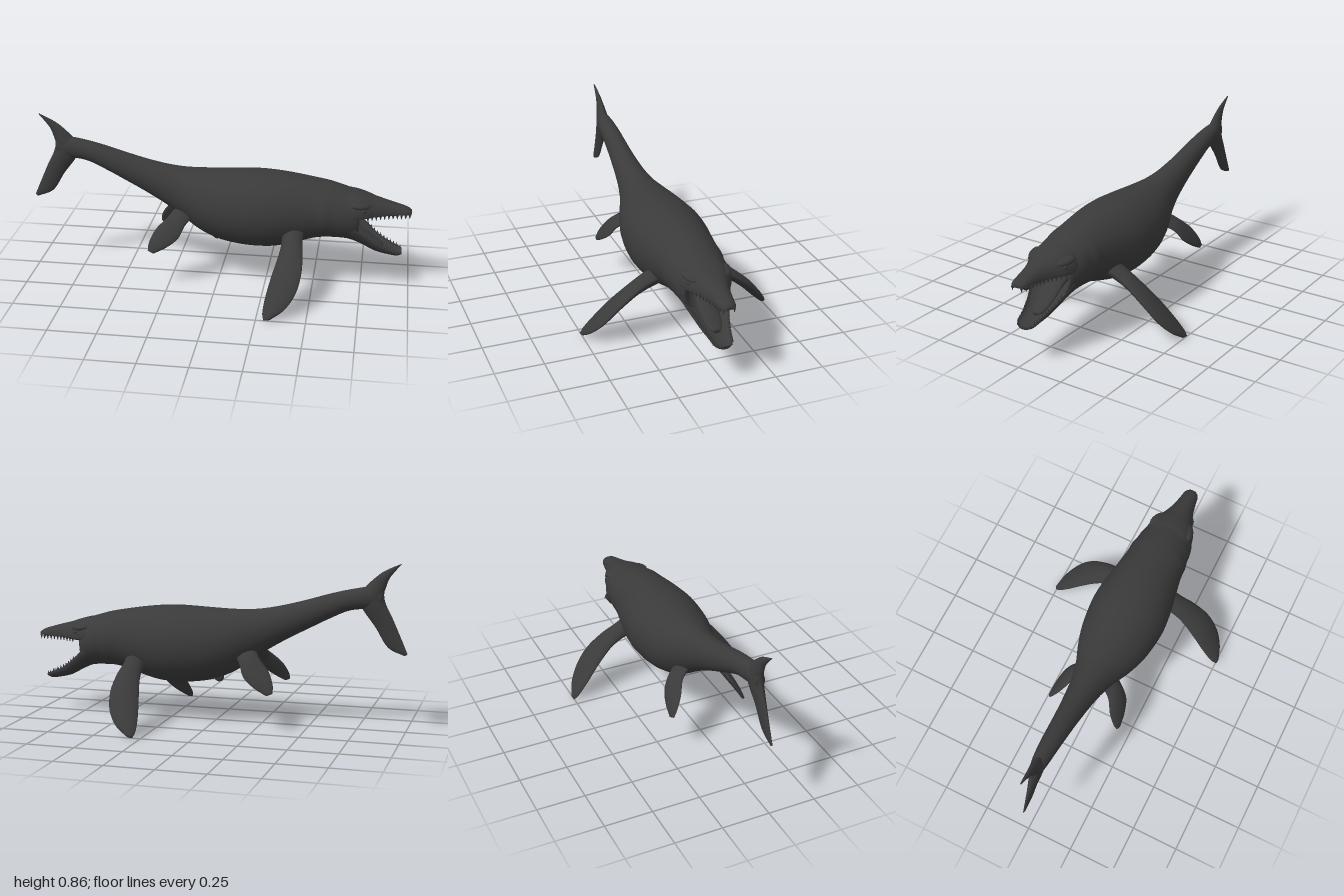
import * as THREE from 'three';

const V = (x, y, z) => new THREE.Vector3(x, y, z);
const ellipse = (a) => [Math.cos(a), Math.sin(a)];

// Smooth closed skin through rows of { c: centre, u, v: half axes }
function loft(rows, shape = ellipse, steps = 6, sides = 36) {
  const [c, u, v] = ['c', 'u', 'v'].map(
    (k) => new THREE.CatmullRomCurve3(rows.map((r) => r[k]), false, 'catmullrom', 0.5));
  const n = (rows.length - 1) * steps;
  const pos = [], index = [];
  let turn = 0;
  for (let i = -1; i <= n + 1; i++) {
    const t = Math.min(Math.max(i / n, 0), 1);
    const size = i < 0 || i > n ? 0 : 1;
    const C = c.getPoint(t), U = u.getPoint(t), W = v.getPoint(t);
    if (i >= 0 && i < n) turn += U.clone().cross(W).dot(c.getPoint((i + 1) / n).sub(C));
    for (let j = 0; j < sides; j++) {
      const [p, q] = shape((j / sides) * Math.PI * 2);
      const P = C.clone().addScaledVector(U, p * size).addScaledVector(W, q * size);
      pos.push(P.x, P.y, P.z);
    }
  }
  for (let i = 0; i < n + 2; i++) {
    for (let j = 0; j < sides; j++) {
      const a = i * sides + j, b = i * sides + ((j + 1) % sides), d = a + sides, e = b + sides;
      if (turn > 0) index.push(a, b, e, a, e, d);
      else index.push(a, e, b, a, d, e);
    }
  }
  const g = new THREE.BufferGeometry();
  g.setAttribute('position', new THREE.Float32BufferAttribute(pos, 3));
  g.setIndex(index);
  g.computeVertexNormals();
  return g;
}

// Trunk-like rows: [x, bottom, top, half width]
const trunk = (rows) => rows.map(([x, b, t, w]) => ({
  c: V(x, (b + t) / 2, 0), u: V(0, 0, w), v: V(0, (t - b) / 2, 0),
}));

// Fin rows: [trailing point, leading point, half thickness]
function fin(rows, side = 1) {
  const pts = rows.map(([a, b, t]) => {
    const A = V(a[0], a[1], (a[2] || 0) * side), B = V(b[0], b[1], (b[2] || 0) * side);
    return { c: A.clone().add(B).multiplyScalar(0.5), u: B.sub(A).multiplyScalar(0.5), t };
  });
  pts.forEach((p, i) => {
    const span = pts[Math.min(i + 1, pts.length - 1)].c.clone().sub(pts[Math.max(i - 1, 0)].c);
    p.v = p.u.clone().cross(span).normalize().multiplyScalar(p.t);
  });
  return loft(pts, (a) => [Math.cos(a), Math.sin(a) * Math.pow(Math.abs(Math.sin(a)), 0.3)], 6, 24);
}

// Linear lookup in rows sorted by x
function sample(rows, x, k) {
  let i = 0;
  while (i < rows.length - 2 && rows[i + 1][0] < x) i++;
  const [a, b] = [rows[i], rows[i + 1]];
  return THREE.MathUtils.lerp(a[k], b[k], (x - a[0]) / (b[0] - a[0]));
}

export function createModel() {
  const model = new THREE.Group();
  const skin = new THREE.MeshStandardMaterial({ color: 0x3a3a3a });
  skin.name = 'charcoal skin';
  const add = (name, geometry, parent = model) => {
    const m = new THREE.Mesh(geometry, skin);
    m.name = name;
    parent.add(m);
    return m;
  };

  // Body from tail stalk to cheeks, folding back inside as the throat
  add('body', loft(trunk([
    [-0.87, 0.65, 0.73, 0.02], [-0.8, 0.635, 0.745, 0.038], [-0.7, 0.62, 0.728, 0.048],
    [-0.6, 0.575, 0.703, 0.054], [-0.5, 0.523, 0.673, 0.061], [-0.4, 0.47, 0.645, 0.071],
    [-0.3, 0.412, 0.622, 0.086], [-0.2, 0.345, 0.607, 0.112], [-0.1, 0.275, 0.603, 0.152],
    [0, 0.232, 0.605, 0.183], [0.1, 0.212, 0.609, 0.2], [0.2, 0.205, 0.612, 0.207],
    [0.3, 0.21, 0.608, 0.198], [0.4, 0.235, 0.597, 0.18], [0.5, 0.266, 0.581, 0.163],
    [0.56, 0.276, 0.57, 0.16], [0.6, 0.276, 0.561, 0.151], [0.65, 0.275, 0.546, 0.146],
    [0.7, 0.268, 0.53, 0.133], [0.73, 0.275, 0.51, 0.115], [0.71, 0.3, 0.43, 0.092],
    [0.62, 0.325, 0.41, 0.05],
  ])));

  // Upper jaw with rounded top and nearly flat palate: [x, top, half width]
  const upper = [
    [0.62, 0.54, 0.13], [0.7, 0.532, 0.13], [0.76, 0.517, 0.113], [0.81, 0.5, 0.085],
    [0.87, 0.484, 0.061], [0.93, 0.467, 0.048], [0.975, 0.452, 0.039], [0.997, 0.438, 0.022],
  ];
  add('upperJaw', loft(
    upper.map(([x, t, w]) => ({ c: V(x, 0.425, 0), u: V(0, 0, w), v: V(0, t - 0.425, 0) })),
    (a) => {
      const s = Math.sin(a), k = Math.cos(a);
      return [Math.sign(k) * Math.pow(Math.abs(k), 0.85), s > 0 ? s : s * 0.2];
    }));

  // Lower jaw, a hollow trough: [x, rim, bottom, half width]
  const lower = [
    [0.62, 0.37, 0.285, 0.128], [0.7, 0.368, 0.266, 0.126], [0.76, 0.322, 0.238, 0.105],
    [0.82, 0.272, 0.206, 0.08], [0.88, 0.238, 0.19, 0.061], [0.93, 0.216, 0.183, 0.05],
    [0.957, 0.207, 0.19, 0.03],
  ];
  add('lowerJaw', loft(
    lower.map(([x, r, b, w]) => ({ c: V(x, r, 0), u: V(0, 0, w), v: V(0, r - b, 0) })),
    (a) => {
      const s = Math.sin(a), k = Math.cos(a);
      return s > 0 ? [k * (1 - 0.12 * s), -0.6 * s] : [k, s];
    }));

  add('tongue', loft(trunk([
    [0.64, 0.315, 0.355, 0.035], [0.7, 0.305, 0.345, 0.045], [0.77, 0.265, 0.302, 0.047],
    [0.83, 0.232, 0.262, 0.038], [0.86, 0.225, 0.243, 0.02],
  ])));

  // Teeth along both jaws
  const teeth = new THREE.Group();
  teeth.name = 'teeth';
  model.add(teeth);
  const tooth = new THREE.ConeGeometry(0.007, 0.024, 8);
  for (const s of [-1, 1]) {
    for (let i = 0; i < 11; i++) {
      const xu = 0.775 + i * 0.0212, xl = 0.775 + i * 0.0172;
      const a = add('upperTooth', tooth, teeth);
      a.position.set(xu, 0.41, s * 0.9 * sample(upper, xu, 2));
      a.rotation.x = Math.PI;
      add('lowerTooth', tooth, teeth)
        .position.set(xl, sample(lower, xl, 1) + 0.004, s * 0.94 * sample(lower, xl, 3));
    }
  }

  // Brows and eyes
  const ball = new THREE.SphereGeometry(1, 24, 16);
  for (const s of [-1, 1]) {
    const brow = add('brow', ball);
    brow.position.set(0.735, 0.482, s * 0.088);
    brow.scale.set(0.055, 0.017, 0.03);
    brow.rotation.set(s * 0.25, s * 0.35, -0.2);
    const eye = add('eye', ball);
    eye.position.set(0.75, 0.458, s * 0.1);
    eye.scale.setScalar(0.016);
  }

  // Flippers, mirrored
  for (const s of [-1, 1]) {
    add('frontFlipper', fin([
      [[0.34, 0.33, 0.11], [0.46, 0.35, 0.11], 0.045],
      [[0.345, 0.295, 0.19], [0.452, 0.315, 0.19], 0.038],
      [[0.335, 0.25, 0.265], [0.46, 0.275, 0.265], 0.03],
      [[0.31, 0.175, 0.35], [0.462, 0.205, 0.355], 0.026],
      [[0.29, 0.1, 0.42], [0.44, 0.125, 0.425], 0.022],
      [[0.282, 0.04, 0.475], [0.39, 0.06, 0.475], 0.016],
      [[0.29, 0.01, 0.502], [0.325, 0.016, 0.502], 0.009],
    ], s));
    add('hindFlipper', fin([
      [[-0.23, 0.4, 0.06], [-0.13, 0.37, 0.09], 0.026],
      [[-0.265, 0.362, 0.11], [-0.165, 0.335, 0.145], 0.021],
      [[-0.318, 0.31, 0.145], [-0.195, 0.278, 0.18], 0.018],
      [[-0.348, 0.25, 0.18], [-0.255, 0.232, 0.2], 0.013],
      [[-0.352, 0.21, 0.2], [-0.32, 0.198, 0.208], 0.007],
    ], s));
  }

  // Upright tail fin, lower tip to upper tip
  add('tailFin', fin([
    [[-1, 0.41], [-0.985, 0.4], 0.004], [[-0.965, 0.49], [-0.9, 0.44], 0.012],
    [[-0.92, 0.59], [-0.835, 0.54], 0.02], [[-0.885, 0.66], [-0.775, 0.62], 0.03],
    [[-0.875, 0.71], [-0.74, 0.69], 0.033], [[-0.885, 0.75], [-0.785, 0.75], 0.024],
    [[-0.9, 0.79], [-0.85, 0.81], 0.015], [[-0.93, 0.83], [-0.9, 0.84], 0.009],
    [[-0.96, 0.865], [-0.95, 0.862], 0.004],
  ]));

  // Small bump under the belly
  const vent = add('bellyBump', ball);
  vent.position.set(-0.015, 0.238, 0);
  vent.scale.set(0.026, 0.024, 0.022);

  return model;
}
